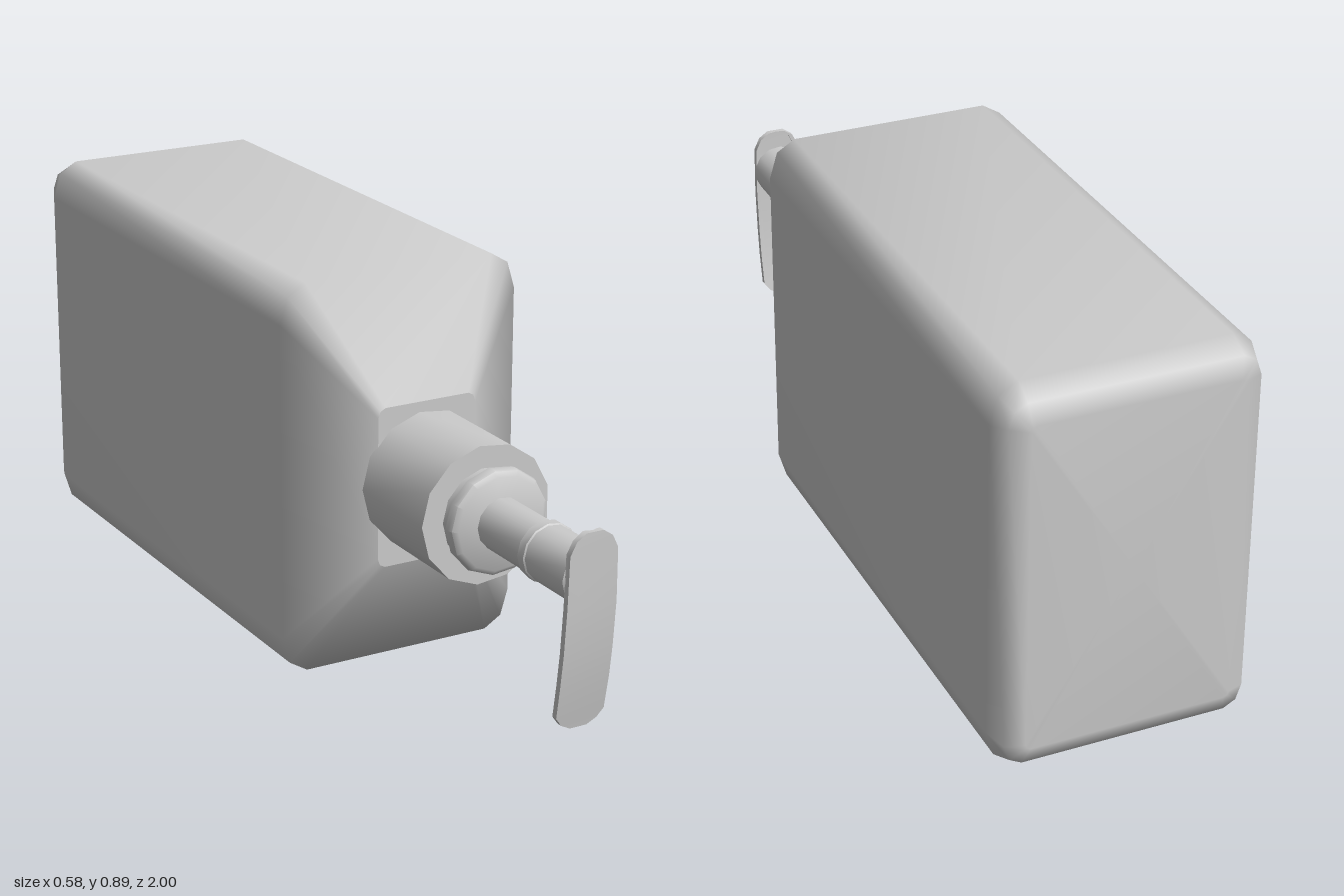
import * as THREE from 'three';
import { toCreasedNormals } from 'three/addons/utils/BufferGeometryUtils.js';

const CY = 0.443; // height of the bottle axis
const material = new THREE.MeshStandardMaterial({ color: 0xcccccc });

// Skins a list of equal-length rings; rings turn counter-clockwise about the direction of travel.
function loft(rings, capStart, capEnd) {
  const n = rings[0].length;
  const points = rings.flat();
  const index = [];
  for (let r = 0; r < rings.length - 1; r++) {
    for (let i = 0; i < n; i++) {
      const a = r * n + i, b = r * n + (i + 1) % n;
      index.push(a, b, b + n, a, b + n, a + n);
    }
  }
  const cap = (r, flip) => {
    const centre = new THREE.Vector3();
    rings[r].forEach(p => centre.addScaledVector(p, 1 / n));
    const c = points.push(centre) - 1;
    for (let i = 0; i < n; i++) {
      const a = r * n + i, b = r * n + (i + 1) % n;
      index.push(c, flip ? b : a, flip ? a : b);
    }
  };
  if (capStart) cap(0, true);
  if (capEnd) cap(rings.length - 1, false);
  const geometry = new THREE.BufferGeometry().setFromPoints(points);
  geometry.setIndex(index);
  geometry.computeVertexNormals();
  return geometry;
}

// Rectangle with softened corners, three points per corner.
function section(z, hx, hy, rx, ry) {
  const corner = [[hx, hy - ry], [hx - 0.3 * rx, hy - 0.3 * ry], [hx - rx, hy]];
  const ring = [];
  for (const [sx, sy] of [[1, 1], [-1, 1], [-1, -1], [1, -1]]) {
    const pts = sx * sy > 0 ? corner : [...corner].reverse();
    pts.forEach(([x, y]) => ring.push(new THREE.Vector3(sx * x, CY + sy * y, z)));
  }
  return ring;
}

// Turned part along z from [radius, z] pairs.
function turned(profile, sides) {
  const pts = profile.map(([r, z]) => new THREE.Vector2(r, z));
  const geometry = new THREE.LatheGeometry(pts, sides, -Math.PI / 2);
  geometry.rotateX(Math.PI / 2).translate(0, CY + 0.004, 0);
  return toCreasedNormals(geometry, 0.7);
}

export function createModel() {
  const model = new THREE.Group();
  model.name = 'pumpBottle';
  const add = (name, geometry, mat = material) => {
    const mesh = new THREE.Mesh(geometry, mat);
    mesh.name = name;
    model.add(mesh);
  };

  // Bottle: rounded base, straight walls, sloping shoulder
  const neck = section(0.36, 0.12, 0.181, 0.018, 0.022);
  add('bottleBody', loft([
    section(-1, 0.23, 0.375, 0.012, 0.012),
    section(-0.982, 0.27, 0.418, 0.04, 0.05),
    section(-0.935, 0.289, 0.443, 0.06, 0.085),
    section(0.24, 0.289, 0.443, 0.06, 0.085),
    neck,
  ], true, false));
  add('shoulderTop', new THREE.ShapeGeometry(
    new THREE.Shape(neck.map(p => new THREE.Vector2(p.x, p.y)))).translate(0, 0, 0.36));

  // Screw collar and the bead above it
  add('collar', turned([[0, 0.355], [0.155, 0.355], [0.155, 0.602], [0, 0.602]], 13));
  add('collarBead', turned([
    [0.105, 0.6], [0.105, 0.622], [0.116, 0.63], [0.118, 0.642],
    [0.115, 0.654], [0.104, 0.662], [0, 0.662],
  ], 13));

  // Pump stem, ring and actuator head
  add('stem', turned([[0.058, 0.655], [0.058, 0.83]], 13));
  add('stemRing', turned([
    [0.056, 0.82], [0.065, 0.823], [0.065, 0.844], [0.06, 0.848],
  ], 13));
  add('pumpHead', turned([[0.062, 0.845], [0.062, 0.982], [0.055, 0.988], [0, 0.988]], 13));

  // Spout lever: thin bent plate with a shallow channel underneath; rows are [y, half width, front z]
  const rows = [
    [0.548, 0.02, 1], [0.533, 0.042, 1], [0.505, 0.056, 0.999], [0.39, 0.058, 0.997],
    [0.29, 0.058, 0.989], [0.22, 0.058, 0.98], [0.145, 0.057, 0.967],
    [0.125, 0.042, 0.963], [0.113, 0.02, 0.961],
  ];
  const leverRings = rows.map(([y, w, f]) => {
    const e = Math.min(0.01, w / 3), back = f - 0.014, mid = f - 0.008;
    return [
      [w, back], [w, f], [-w, f], [-w, back],
      [e - w, back], [e - w, mid], [w - e, mid], [w - e, back],
    ].map(([x, z]) => new THREE.Vector3(x, y, z));
  });
  add('spoutLever', toCreasedNormals(loft(leverRings, true, true), 0.6),
    new THREE.MeshStandardMaterial({ color: 0xcccccc, side: THREE.DoubleSide }));

  return model;
}
